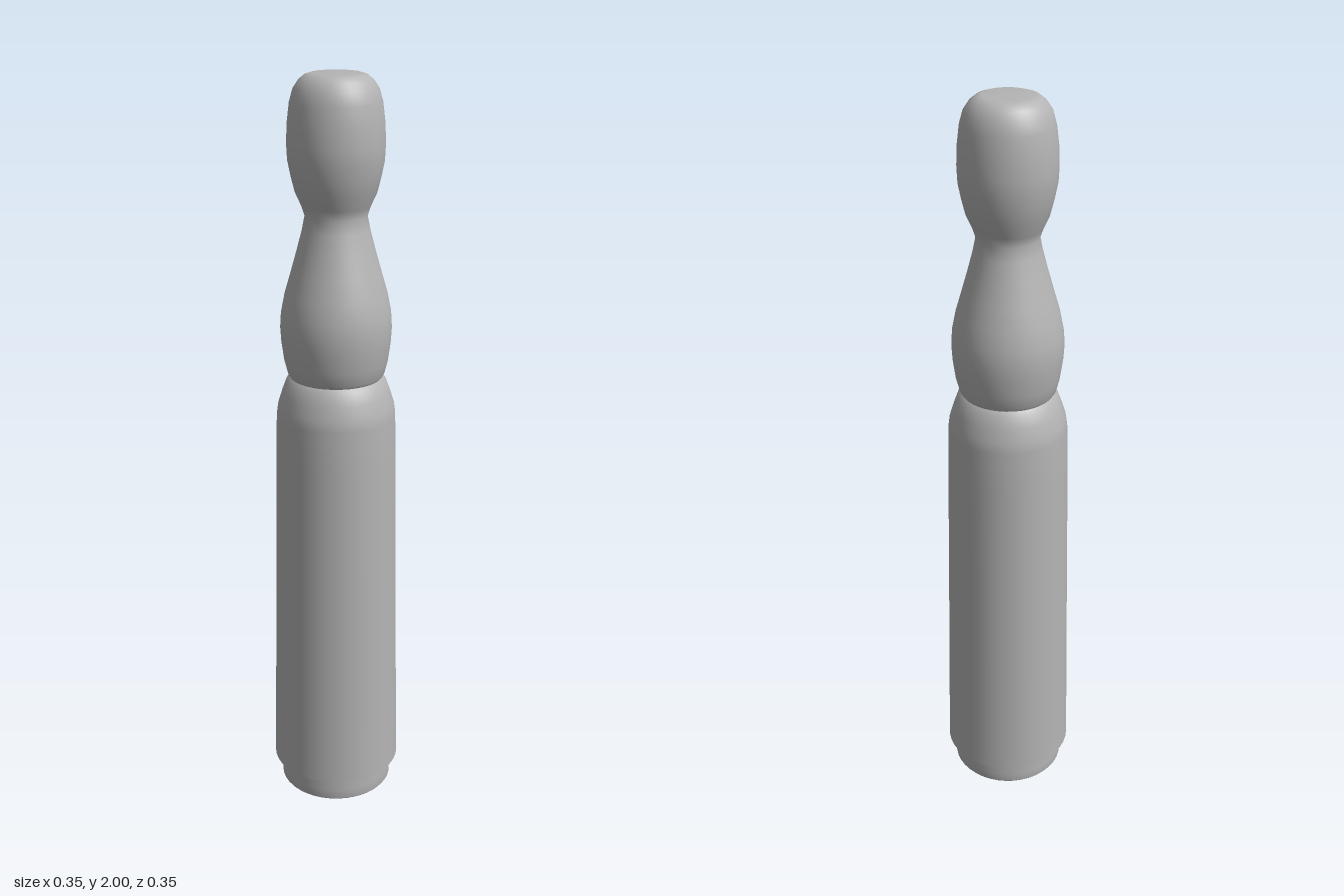
import * as THREE from 'three';

const SIDES = 40;

// Turns a profile of [radius, height] pairs, listed bottom to top, into a round part
function turned(name, profile, material) {
  const points = profile.map(([r, y]) => new THREE.Vector2(r, y));
  const mesh = new THREE.Mesh(new THREE.LatheGeometry(points, SIDES), material);
  mesh.name = name;
  return mesh;
}

export function createModel() {
  const grey = new THREE.MeshStandardMaterial({ color: 0xb4b4b4 });
  grey.name = 'plain grey';

  const group = new THREE.Group();
  group.name = 'turnedFigure';

  // Short plug the column stands on
  group.add(turned('foot', [
    [0, 0], [0.152, 0], [0.156, 0.005], [0.156, 0.03], [0.155, 0.08],
  ], grey));

  // Overhanging underside of the column
  group.add(turned('columnUnderside', [[0.15, 0.073], [0.177, 0.073]], grey));

  // Long tapering column with a rounded shoulder
  group.add(turned('column', [
    [0.177, 0.073], [0.176, 0.12], [0.171, 0.4], [0.166, 0.7], [0.161, 1.0],
    [0.158, 1.12], [0.154, 1.15], [0.143, 1.185], [0.132, 1.215], [0.118, 1.228],
  ], grey));

  // Bulb, narrow neck and rounded head in one smooth sweep
  group.add(turned('bulbNeckAndHead', [
    [0.118, 1.222], [0.127, 1.235], [0.136, 1.27], [0.143, 1.32], [0.1455, 1.36],
    [0.143, 1.4], [0.133, 1.45], [0.117, 1.505], [0.1, 1.565], [0.087, 1.615],
    [0.08, 1.65], [0.088, 1.675], [0.104, 1.71], [0.114, 1.75], [0.122, 1.79],
    [0.124, 1.83], [0.122, 1.88], [0.116, 1.93], [0.107, 1.962], [0.093, 1.983],
    [0.078, 1.995], [0.062, 2.0], [0, 2.0],
  ], grey));

  return group;
}
